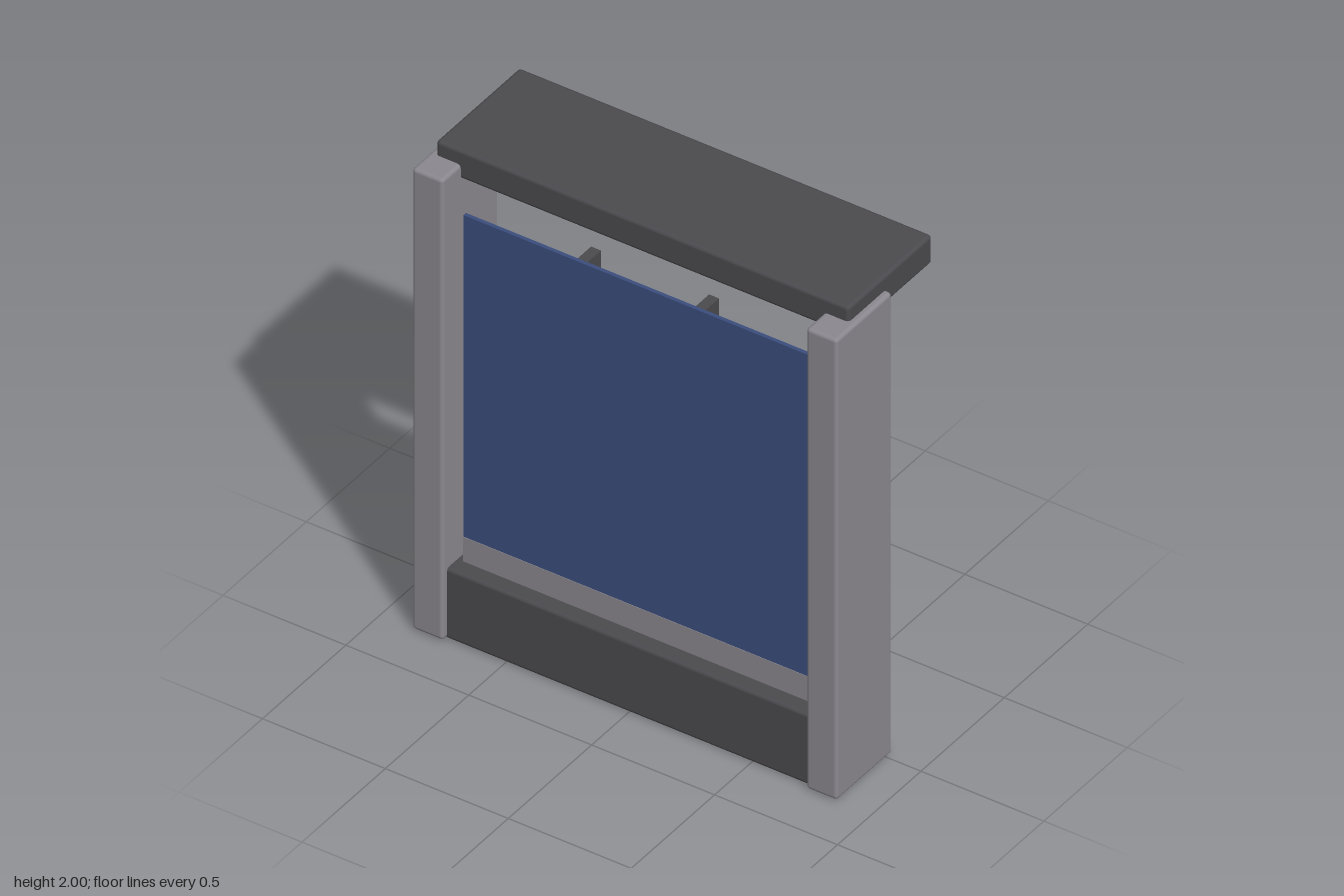
import * as THREE from 'three';
import { RoundedBoxGeometry } from 'three/addons/geometries/RoundedBoxGeometry.js';

const material = (name, color) => {
  const m = new THREE.MeshStandardMaterial({ color });
  m.name = name;
  return m;
};

export function createModel() {
  const group = new THREE.Group();
  const lightGrey = material('light grey', 0x8b888f);
  const darkGrey = material('dark grey', 0x4b4a4e);
  const blue = material('blue', 0x3b4e7e);
  const pink = material('pink', 0xc4639c);

  // Box given by its ranges on each axis, with an optional edge rounding
  const block = (name, mat, [x0, x1], [y0, y1], [z0, z1], radius = 0) => {
    const size = [x1 - x0, y1 - y0, z1 - z0];
    const geometry = radius
      ? new RoundedBoxGeometry(...size, 2, radius)
      : new THREE.BoxGeometry(...size);
    const mesh = new THREE.Mesh(geometry, mat);
    mesh.name = name;
    mesh.position.set((x0 + x1) / 2, (y0 + y1) / 2, (z0 + z1) / 2);
    group.add(mesh);
  };

  // Frame: base, overhanging top slab
  block('base', darkGrey, [-0.75, 0.75], [0, 0.297], [0.04, 0.28], 0.015);
  block('topSlab', darkGrey, [-0.84, 0.84], [1.88, 2], [-0.305, 0.197], 0.015);

  // Side posts, each with a light strip on its back
  for (const [side, s] of [['left', 1], ['right', -1]]) {
    const span = (a, b) => (s > 0 ? [a, b] : [-b, -a]);
    block(side + 'Post', lightGrey, span(0.738, 0.865), [0.005, 1.94], [-0.028, 0.305], 0.015);
    block(side + 'PostStrip', pink, span(0.785, 0.82), [0.3, 1.65], [-0.05, -0.025]);
    block(side + 'VerticalBar', darkGrey, span(0.22, 0.26), [0.4, 1.75], [0.12, 0.2]);
  }

  // Window: sill, pane and cross bar
  block('sill', lightGrey, [-0.715, 0.715], [0.297, 0.4], [0.02, 0.217]);
  block('pane', blue, [-0.715, 0.715], [0.4, 1.75], [0.2, 0.215]);
  block('crossBar', darkGrey, [-0.715, 0.715], [1.03, 1.07], [0.11, 0.2]);

  // Strip along the back of the base
  block('baseStrip', pink, [-0.74, 0.74], [0.235, 0.265], [0.018, 0.045]);

  return group;
}
